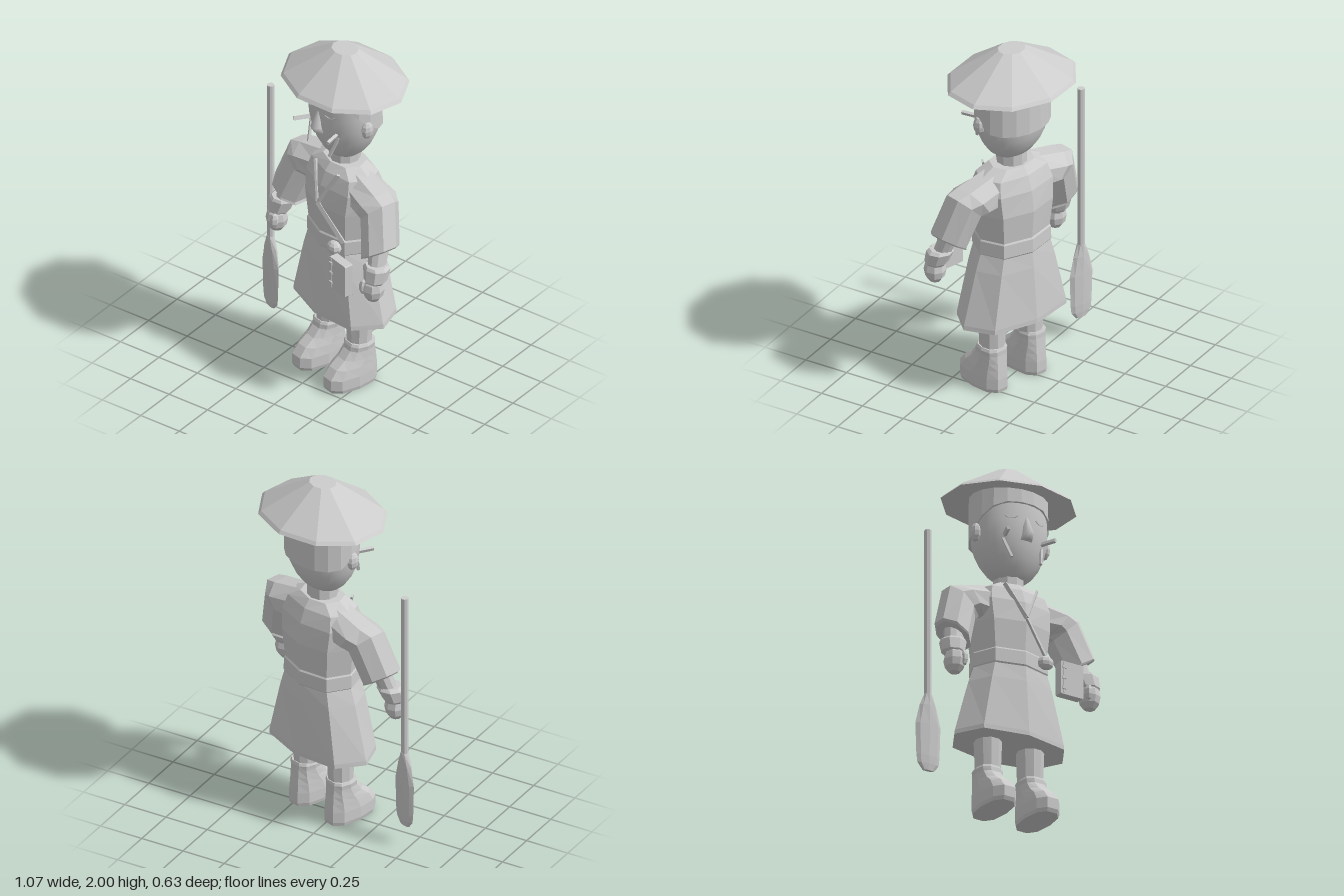
import * as THREE from 'three';

const clay = new THREE.MeshStandardMaterial({ color: 0xcccccc });
clay.name = 'light grey';

const V = (x, y, z) => new THREE.Vector3(x, y, z);

// Horizontal oval ring; pow below 1 makes it boxier
function oval(cx, y, cz, rx, rz, n, pow = 1) {
  const ring = [];
  for (let i = 0; i < n; i++) {
    const a = (i / n) * Math.PI * 2, c = Math.cos(a), s = Math.sin(a);
    ring.push(V(cx + rx * Math.sign(c) * Math.abs(c) ** pow, y, cz + rz * Math.sign(s) * Math.abs(s) ** pow));
  }
  return ring;
}

// Tilted ring spanning an outer and an inner point, with a half depth in z
function slantRing(ox, oy, ix, iy, cz, hz, side, n = 8) {
  const ring = [];
  for (let i = 0; i < n; i++) {
    const a = ((i + 0.5) / n) * Math.PI * 2;
    const k = Math.max(-1, Math.min(1, Math.cos(a) * 1.08));
    const h = Math.max(-1, Math.min(1, Math.sin(a) * 1.08));
    ring.push(V(side * ((ox + ix) / 2 + k * (ox - ix) / 2), (oy + iy) / 2 + k * (oy - iy) / 2, cz + hz * h));
  }
  return ring;
}

// Closed skin over a list of rings, turned outward whatever the ring order
function loft(rings, smooth = false) {
  const n = rings[0].length, pts = rings.flat(), idx = [];
  for (let r = 0; r < rings.length - 1; r++)
    for (let i = 0; i < n; i++) {
      const a = r * n + i, b = r * n + (i + 1) % n;
      idx.push(a, a + n, b, b, a + n, b + n);
    }
  [0, rings.length - 1].forEach((r, end) => {
    const mid = rings[r].reduce((m, p) => m.add(p), V(0, 0, 0)).divideScalar(n);
    const c = pts.push(mid) - 1;
    for (let i = 0; i < n; i++) {
      const a = r * n + i, b = r * n + (i + 1) % n;
      idx.push(c, ...(end ? [b, a] : [a, b]));
    }
  });
  let volume = 0;
  for (let i = 0; i < idx.length; i += 3)
    volume += pts[idx[i]].dot(pts[idx[i + 1]].clone().cross(pts[idx[i + 2]]));
  if (volume < 0) idx.reverse();
  let g = new THREE.BufferGeometry().setFromPoints(pts);
  g.setIndex(idx);
  if (!smooth) g = g.toNonIndexed();
  g.computeVertexNormals();
  return g;
}

function flat(g) {
  const f = g.index ? g.toNonIndexed() : g;
  f.computeVertexNormals();
  return f;
}

export function createModel() {
  const model = new THREE.Group();
  model.name = 'paddlerFigure';
  const body = new THREE.Group();
  body.name = 'figure';
  body.position.set(0.085, 0, -0.01);
  body.rotation.y = -0.295;
  model.add(body);

  const add = (name, g, x = 0, y = 0, z = 0, parent = body) => {
    const m = new THREE.Mesh(g, clay);
    m.name = name;
    m.position.set(x, y, z);
    parent.add(m);
    return m;
  };
  const bar = (name, a, b, w, t) => {
    const d = b.clone().sub(a), mid = a.clone().add(b).multiplyScalar(0.5);
    const m = add(name, new THREE.BoxGeometry(w, d.length(), t), mid.x, mid.y, mid.z);
    m.quaternion.setFromUnitVectors(V(0, 1, 0), d.normalize());
    return m;
  };

  // Wide ten-sided hat with a hollow underside
  const hatProfile = [[0, 1.84], [0.62, 1.835], [1, 1.81], [0.955, 1.828], [0.21, 2], [0, 2]];
  const hat = add('hat', flat(new THREE.LatheGeometry(hatProfile.map(([r, y]) => new THREE.Vector2(r, y)), 10)));
  hat.scale.set(0.38, 1, 0.315);

  // Head with a narrow chin
  const headProfile = [[1.365, 0.3], [1.38, 0.45], [1.41, 0.61], [1.46, 0.78], [1.52, 0.91], [1.59, 0.99], [1.66, 1.01], [1.75, 1], [1.83, 0.95]];
  add('head', loft(headProfile.map(([y, k]) => oval(0, y, 0.02 * (1 - k), 0.212 * k, 0.178 * k, 28)), true));

  // Cap under the hat, its hem low behind and arched above the brow
  const hem = oval(0, 0, 0, 0.223, 0.186, 18).map(p => {
    const t = THREE.MathUtils.smoothstep(p.z, -0.1, 0.19);
    return p.setY(1.57 + 0.19 * t);
  });
  add('cap', loft([hem, oval(0, 1.84, 0, 0.22, 0.184, 18)]));

  // Nose
  const nose = add('nose', loft([oval(0, 1.55, 0.17, 0.035, 0.03, 8), oval(0, 1.585, 0.185, 0.03, 0.037, 8), oval(0, 1.68, 0.165, 0.012, 0.015, 8)], true));
  nose.name = 'nose';

  for (const s of [1, -1]) {
    const side = s > 0 ? 'left' : 'right';

    // Ear, closed eye and drooping whisker
    const ear = add(side + 'Ear', flat(new THREE.SphereGeometry(1, 8, 6)), s * 0.215, 1.605, 0.015);
    ear.scale.set(0.028, 0.052, 0.036);
    const eye = add(side + 'Eye', new THREE.TorusGeometry(0.05, 0.004, 4, 8, 1.5), s * 0.088, 1.715, 0.162);
    eye.rotation.set(0, s * 0.4, Math.PI * 1.5 - 0.75);
    bar(side + 'Moustache', V(s * 0.115, 1.568, 0.14), V(s * 0.148, 1.568, 0.225), 0.016, 0.02);
    bar(side + 'Whisker', V(s * 0.12, 1.55, 0.13), V(s * 0.09, 1.435, 0.17), 0.014, 0.014);

    // Shoulder and short wide sleeve
    add(side + 'Sleeve', loft([
      slantRing(0.1, 1.315, 0.17, 1.08, 0, 0.1, s),
      slantRing(0.33, 1.258, 0.22, 1.1, 0.005, 0.115, s),
      slantRing(0.40, 1.235, 0.245, 1.08, 0.015, 0.1, s),
      slantRing(0.475, 1.01, 0.305, 0.905, 0.06, 0.1, s),
      slantRing(0.465, 0.995, 0.30, 0.89, 0.06, 0.095, s),
    ]));

    // Forearm, flared cuff, fist and thumb
    add(side + 'Forearm', loft([oval(s * 0.38, 0.99, 0.06, 0.056, 0.056, 10), oval(s * 0.42, 0.8, 0.12, 0.046, 0.046, 10)]));
    add(side + 'Cuff', loft([
      oval(s * 0.41, 0.9, 0.1, 0.06, 0.06, 8), oval(s * 0.413, 0.885, 0.1, 0.076, 0.07, 8),
      oval(s * 0.423, 0.82, 0.118, 0.065, 0.062, 8), oval(s * 0.425, 0.805, 0.12, 0.05, 0.05, 8),
    ]));
    const hand = add(side + 'Hand', flat(new THREE.SphereGeometry(1, 8, 6)), s * 0.422, 0.765, 0.13);
    hand.scale.set(0.06, 0.077, 0.06);
    const thumb = add(side + 'Thumb', flat(new THREE.SphereGeometry(1, 6, 5)), s * 0.39, 0.775, 0.17);
    thumb.scale.set(0.024, 0.045, 0.026);

    // Trouser leg and boot
    add(side + 'Leg', loft([oval(s * 0.132, 0.5, 0.005, 0.078, 0.078, 10), oval(s * 0.132, 0.22, 0.005, 0.066, 0.07, 10)]));
    add(side + 'Boot', loft([
      [0.255, 0.068, -0.07, 0.08], [0.24, 0.075, -0.075, 0.088], [0.215, 0.072, -0.075, 0.092],
      [0.17, 0.075, -0.08, 0.13], [0.13, 0.08, -0.085, 0.185], [0.08, 0.085, -0.09, 0.225],
      [0.02, 0.085, -0.09, 0.225], [0, 0.08, -0.085, 0.215],
    ].map(([y, rx, back, front]) => oval(s * 0.136, y, (back + front) / 2, rx, (front - back) / 2, 10, 0.8))));

    // Collar edge
    bar(side + 'Collar', V(s * 0.1, 1.3, 0.118), V(0, 1.1, 0.178), 0.022, 0.012);
  }

  // Neck
  add('neck', flat(new THREE.CylinderGeometry(0.083, 0.083, 0.14, 10)), 0, 1.35, 0);

  // Tunic, belt and flared skirt
  add('tunic', loft([
    [0.9, 0.212, 0.16], [1.08, 0.235, 0.175], [1.2, 0.245, 0.16], [1.28, 0.22, 0.13], [1.325, 0.13, 0.095],
  ].map(([y, rx, rz]) => oval(0, y, 0, rx, rz, 8, 0.85))));
  add('belt', loft([
    [0.825, 0.215, 0.163], [0.835, 0.222, 0.17], [0.91, 0.22, 0.168], [0.922, 0.212, 0.16],
  ].map(([y, rx, rz]) => oval(0, y, 0, rx, rz, 8, 0.85))));
  add('skirt', loft([
    [0.84, 0.215, 0.163], [0.74, 0.25, 0.175], [0.44, 0.335, 0.2], [0.415, 0.338, 0.2],
  ].map(([y, rx, rz]) => oval(0, y, 0, rx, rz, 8, 0.85))));

  // Overlapping tunic edge running down to the belt knot
  bar('tunicEdge', V(0, 1.1, 0.178), V(0.16, 0.91, 0.13), 0.024, 0.012);
  const knot = add('beltKnot', flat(new THREE.SphereGeometry(1, 8, 6)), 0.125, 0.878, 0.165);
  knot.scale.set(0.048, 0.038, 0.035);

  // Belt pouch with a flap line and three studs
  const pouch = new THREE.Group();
  pouch.name = 'pouch';
  pouch.position.set(0.245, 0.785, 0.21);
  body.add(pouch);
  const panel = new THREE.Shape([[-0.065, -0.095], [0.065, -0.095], [0.07, -0.09], [0.07, 0.09], [0.065, 0.095], [-0.065, 0.095], [-0.07, 0.09], [-0.07, -0.09]].map(p => new THREE.Vector2(...p)));
  add('pouchBody', new THREE.ExtrudeGeometry(panel, { depth: 0.05, bevelEnabled: false }), 0, 0, -0.025, pouch);
  add('pouchEdge', new THREE.BoxGeometry(0.006, 0.18, 0.006), -0.05, 0, 0.026, pouch);
  for (const y of [-0.06, 0, 0.06]) add('pouchStud', new THREE.BoxGeometry(0.022, 0.016, 0.012), -0.05, y, 0.027, pouch);

  // Paddle standing beside the right hand
  const paddle = new THREE.Group();
  paddle.name = 'paddle';
  paddle.position.set(-0.465, 0, -0.1);
  paddle.rotation.y = -0.35;
  model.add(paddle);
  add('paddleShaft', flat(new THREE.CylinderGeometry(0.02, 0.02, 0.98, 8)), 0, 1.015, 0, paddle);
  add('paddleBlade', loft([
    [0.56, 0.021, 0.021], [0.49, 0.05, 0.023], [0.38, 0.076, 0.022], [0.2, 0.07, 0.018], [0.155, 0.064, 0.015], [0.118, 0.035, 0.01],
  ].map(([y, rx, rz]) => oval(0, y, 0, rx, rz, 8))), 0, 0, 0, paddle);

  return model;
}
